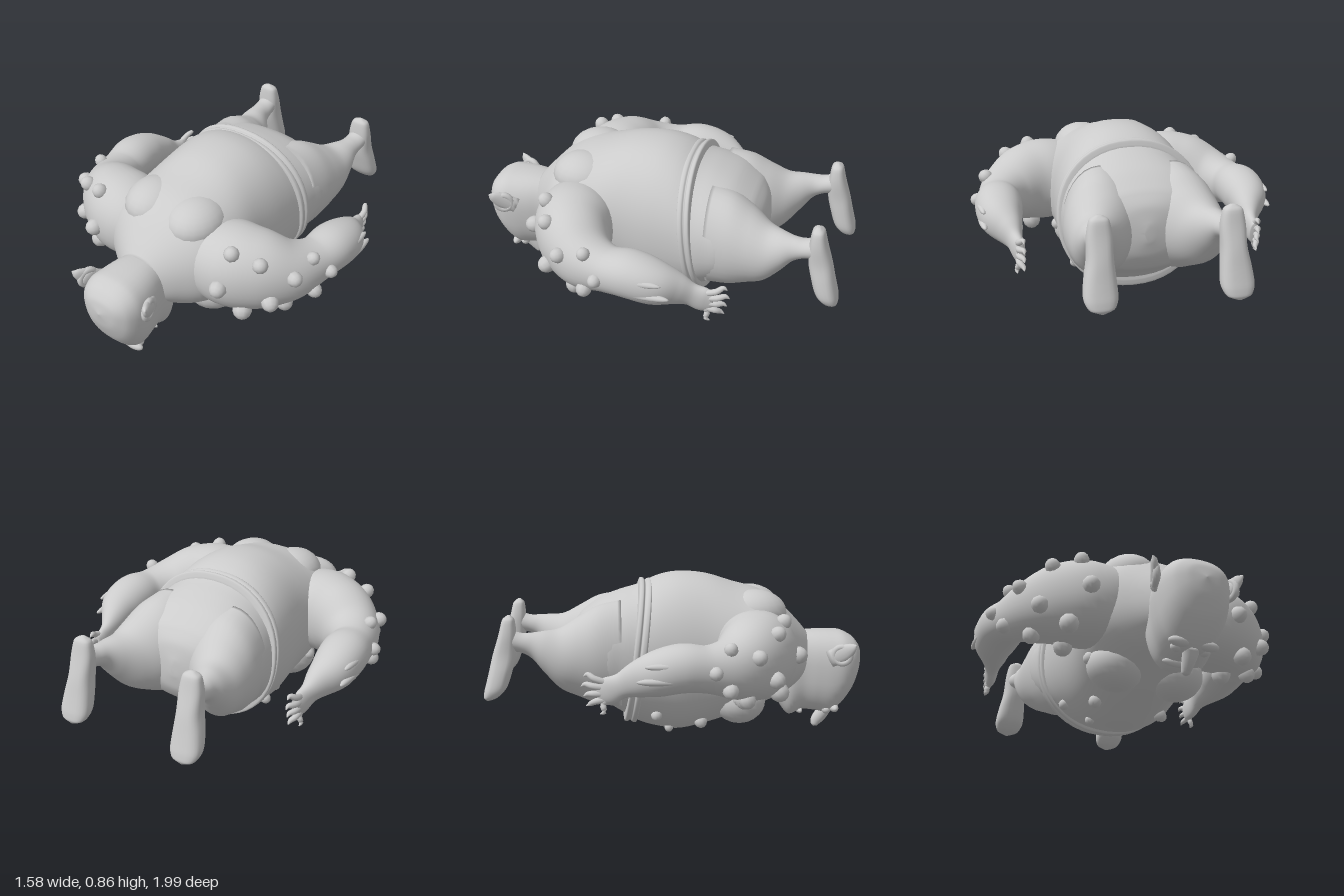
import * as THREE from 'three';

const material = new THREE.MeshStandardMaterial({ color: 0xcccccc });
const V = (x, y, z) => new THREE.Vector3(x, y, z);

function add(parent, name, geometry) {
  const mesh = new THREE.Mesh(geometry, material);
  mesh.name = name;
  parent.add(mesh);
  return mesh;
}

// Skin through rounded rings. Row: [x, y, z, half width, half height].
// pow squares the ring off, taper widens its upper side, axis fixes the ring direction.
function loft(rows, { n = 32, steps = 48, pow = 1, taper = 0, axis = null, up = V(0, 1, 0) } = {}) {
  const path = new THREE.CatmullRomCurve3(rows.map((r) => V(r[0], r[1], r[2])));
  const size = new THREE.CatmullRomCurve3(rows.map((r) => V(r[3], r[4], r[2])));
  const pos = [], idx = [];
  for (let i = 0; i <= steps; i++) {
    const u = i / steps, c = path.getPoint(u), s = size.getPoint(u);
    const t = axis || path.getTangent(u);
    const side = up.clone().cross(t).normalize();
    const top = t.clone().cross(side).normalize();
    for (let j = 0; j < n; j++) {
      const a = (j / n) * Math.PI * 2;
      const round = (v) => Math.sign(v) * Math.pow(Math.abs(v), pow);
      const cx = round(Math.cos(a)), sy = round(Math.sin(a));
      const p = c.clone()
        .addScaledVector(side, cx * Math.max(s.x, 0.001) * (1 + taper * sy))
        .addScaledVector(top, sy * Math.max(s.y, 0.001));
      pos.push(p.x, p.y, p.z);
      if (i < steps) {
        const k = (j + 1) % n, A = i * n + j, B = i * n + k;
        idx.push(A, B, B + n, A, B + n, A + n);
      }
    }
  }
  // closed ends
  for (const [start, flip] of [[0, true], [steps * n, false]]) {
    for (let j = 1; j < n - 1; j++) {
      idx.push(start, start + (flip ? j + 1 : j), start + (flip ? j : j + 1));
    }
  }
  const g = new THREE.BufferGeometry();
  g.setAttribute('position', new THREE.Float32BufferAttribute(pos, 3));
  g.setIndex(idx);
  g.computeVertexNormals();
  g.userData = { n, steps };
  return g;
}

// Rows given as [z, half width, bottom, top]
const bodyRows = (list) => list.map(([z, w, b, t]) => [0, (b + t) / 2, z, w, (t - b) / 2]);

function ball(parent, name, p, r) {
  const mesh = add(parent, name, new THREE.SphereGeometry(1, 20, 14));
  mesh.position.set(...p);
  mesh.scale.set(...r);
  return mesh;
}

// Wart sitting on a loft at fraction u along it and angle a around it
function wart(parent, geometry, u, a, r) {
  const { n, steps } = geometry.userData;
  const j = ((Math.round((a / (Math.PI * 2)) * n) % n) + n) % n;
  const i = Math.round(u * steps) * n + j;
  const p = new THREE.Vector3().fromBufferAttribute(geometry.attributes.position, i);
  const d = new THREE.Vector3().fromBufferAttribute(geometry.attributes.normal, i);
  const mesh = add(parent, 'wart', new THREE.SphereGeometry(1, 10, 7));
  mesh.position.copy(p);
  mesh.scale.set(r, r * 1.1, r);
  mesh.quaternion.setFromUnitVectors(V(0, 1, 0), d);
}

export function createModel() {
  const model = new THREE.Group();
  model.name = 'lyingCreature';

  // Barrel torso, belly down
  const torso = loft(bodyRows([
    [-0.57, 0.02, 0.42, 0.5], [-0.55, 0.16, 0.33, 0.59], [-0.5, 0.32, 0.25, 0.66],
    [-0.4, 0.385, 0.19, 0.73], [-0.3, 0.38, 0.125, 0.77], [-0.2, 0.37, 0.065, 0.8],
    [-0.1, 0.365, 0.035, 0.845], [0, 0.36, 0.02, 0.865], [0.15, 0.35, 0.05, 0.855],
    [0.3, 0.36, 0.1, 0.81], [0.45, 0.36, 0.16, 0.765], [0.55, 0.31, 0.2, 0.7],
    [0.64, 0.2, 0.25, 0.61], [0.7, 0.12, 0.28, 0.54],
  ]), { n: 48, steps: 72, pow: 0.92, axis: V(0, 0, 1) });
  add(model, 'torso', torso);
  for (const [u, a, r] of [[0.58, -1.1, 0.035], [0.6, -2.05, 0.035], [0.5, -0.75, 0.03],
    [0.45, -2.4, 0.03], [0.69, -0.6, 0.035], [0.69, -2.55, 0.035], [0.5, -1.9, 0.025]]) {
    wart(model, torso, u, a, r);
  }

  // Tilted waistband with a central groove
  add(model, 'waistband', loft([
    [0, 0.451, -0.248, 0.355, 0.35], [0, 0.45, -0.24, 0.387, 0.383], [0, 0.448, -0.222, 0.388, 0.384],
    [0, 0.446, -0.212, 0.376, 0.374], [0, 0.445, -0.202, 0.386, 0.384],
    [0, 0.443, -0.182, 0.384, 0.386], [0, 0.442, -0.174, 0.355, 0.35],
  ], { n: 48, steps: 24, pow: 0.92, axis: V(0, -0.12, 0.99).normalize() }));

  // Head with the crown forward and the face down
  add(model, 'head', loft(bodyRows([
    [0.52, 0.07, 0.22, 0.45], [0.56, 0.11, 0.14, 0.5], [0.61, 0.135, 0.08, 0.53],
    [0.68, 0.14, 0.105, 0.54], [0.75, 0.155, 0.1, 0.545], [0.83, 0.168, 0.09, 0.545],
    [0.89, 0.168, 0.135, 0.54], [0.95, 0.14, 0.22, 0.51], [0.985, 0.085, 0.31, 0.465],
    [1.0, 0.003, 0.395, 0.4],
  ]), { n: 40, pow: 0.82, taper: 0.12, axis: V(0, 0, 1) }));

  // Nose, brow and mouth
  add(model, 'nose', loft([
    [0, 0.12, 0.83, 0.045, 0.03], [0, 0.075, 0.8, 0.035, 0.035],
    [0, 0.035, 0.77, 0.026, 0.03], [0, 0.012, 0.76, 0.02, 0.018], [0, 0.003, 0.757, 0.004, 0.004],
  ], { n: 16, steps: 16, up: V(0, 0, 1) }));
  ball(model, 'mouth', [0, 0.105, 0.67], [0.075, 0.022, 0.018]);

  for (const s of [1, -1]) {
    const half = new THREE.Group();
    half.name = s > 0 ? 'leftSide' : 'rightSide';
    model.add(half);
    const flip = (rows) => rows.map(([x, ...rest]) => [x * s, ...rest]);

    ball(half, 'eye', [s * 0.07, 0.115, 0.81], [0.03, 0.025, 0.025]);
    ball(half, 'brow', [s * 0.07, 0.125, 0.85], [0.06, 0.025, 0.025]);

    // Ear: rimmed cup with a pointed tip
    const ear = new THREE.Group();
    ear.name = 'ear';
    ear.position.set(s * 0.195, 0.435, 0.86);
    ear.rotation.y = s * (Math.PI / 2 + 0.3);
    half.add(ear);
    add(ear, 'earRim', new THREE.TorusGeometry(0.043, 0.017, 10, 24));
    ball(ear, 'earCup', [0, 0, -0.012], [0.04, 0.04, 0.014]);
    add(half, 'earTip', loft(flip([
      [0.17, 0.41, 0.8, 0.02, 0.045], [0.2, 0.45, 0.87, 0.02, 0.045],
      [0.222, 0.48, 0.91, 0.016, 0.025], [0.235, 0.495, 0.925, 0.003, 0.003],
    ]), { n: 12, steps: 14 }));

    // Chest and shoulder blade
    ball(half, 'chestMuscle', [s * 0.16, 0.2, 0.32], [0.15, 0.125, 0.14]);
    ball(half, 'shoulderBlade', [s * 0.13, 0.66, 0.4], [0.15, 0.12, 0.17]);

    // Heavy arm swept back beside the body
    const arm = loft(flip([
      [0.15, 0.47, 0.38, 0.18, 0.18], [0.33, 0.48, 0.385, 0.21, 0.22], [0.47, 0.475, 0.335, 0.185, 0.21],
      [0.58, 0.46, 0.235, 0.15, 0.16], [0.642, 0.465, 0.1, 0.115, 0.115],
      [0.66, 0.475, -0.02, 0.122, 0.118], [0.66, 0.45, -0.14, 0.11, 0.11],
      [0.635, 0.415, -0.24, 0.07, 0.085], [0.62, 0.385, -0.31, 0.04, 0.062],
      [0.61, 0.36, -0.37, 0.032, 0.068], [0.605, 0.35, -0.42, 0.02, 0.055],
    ]), { n: 36, steps: 60, pow: 0.95 });
    add(half, 'arm', arm);
    for (const [u, a, r] of [[0.12, 3.2, 0.045], [0.16, 4.1, 0.05], [0.2, 2.5, 0.04], [0.24, 3.5, 0.045],
      [0.28, 4.4, 0.045], [0.29, 2.8, 0.04], [0.35, 3.8, 0.04], [0.35, 2.2, 0.035],
      [0.4, 3.1, 0.035], [0.2, 4.9, 0.05], [0.13, 2.2, 0.04]]) {
      wart(half, arm, u, s > 0 ? a : Math.PI - a, r);
    }
    // Forearm tendons
    for (const [y, z0, z1] of [[0.5, 0.08, -0.2], [0.43, 0.02, -0.24]]) {
      ball(half, 'tendon', [s * 0.755, y, (z0 + z1) / 2], [0.022, 0.02, (z0 - z1) / 2]);
    }

    // Four fingers and a thumb
    for (let i = 0; i < 5; i++) {
      const thumb = i === 4;
      const y0 = thumb ? 0.33 : 0.395 - i * 0.025;
      const y1 = thumb ? 0.25 : 0.43 - i * 0.048;
      const z1 = thumb ? -0.41 : -0.5 + Math.abs(i - 1) * 0.012;
      const x1 = thumb ? 0.625 : 0.6;
      add(half, thumb ? 'thumb' : 'finger', loft(flip([
        [0.61, y0, -0.36, 0.016, 0.016], [0.615, (y0 + y1) / 2 + 0.008, (z1 - 0.38) / 2, 0.016, 0.016],
        [x1, y1 + 0.01, z1 + 0.02, 0.012, 0.012], [x1, y1, z1, 0.002, 0.002],
      ]), { n: 10, steps: 12 }));
    }

    // Tapering leg
    add(half, 'leg', loft(flip([
      [0.19, 0.46, -0.3, 0.185, 0.28], [0.205, 0.46, -0.42, 0.19, 0.255], [0.225, 0.455, -0.52, 0.172, 0.205],
      [0.26, 0.455, -0.61, 0.132, 0.155], [0.29, 0.495, -0.69, 0.09, 0.105],
      [0.305, 0.53, -0.75, 0.06, 0.065], [0.31, 0.545, -0.8, 0.055, 0.05], [0.315, 0.56, -0.86, 0.055, 0.055],
    ]), { n: 32, axis: V(0, 0, -1) }));

    // Foot hanging toes down, sole facing back
    add(half, 'foot', loft(flip([
      [0.315, 0.685, -0.86, 0.01, 0.008], [0.315, 0.665, -0.862, 0.045, 0.03],
      [0.315, 0.59, -0.868, 0.06, 0.044], [0.317, 0.49, -0.885, 0.062, 0.058],
      [0.322, 0.4, -0.907, 0.074, 0.058], [0.325, 0.32, -0.932, 0.08, 0.054],
      [0.325, 0.275, -0.957, 0.062, 0.036], [0.325, 0.255, -0.972, 0.01, 0.01],
    ]), { n: 24, steps: 32, pow: 0.75, axis: V(0, -1, 0), up: V(0, 0, 1) }));
  }
  return model;
}
